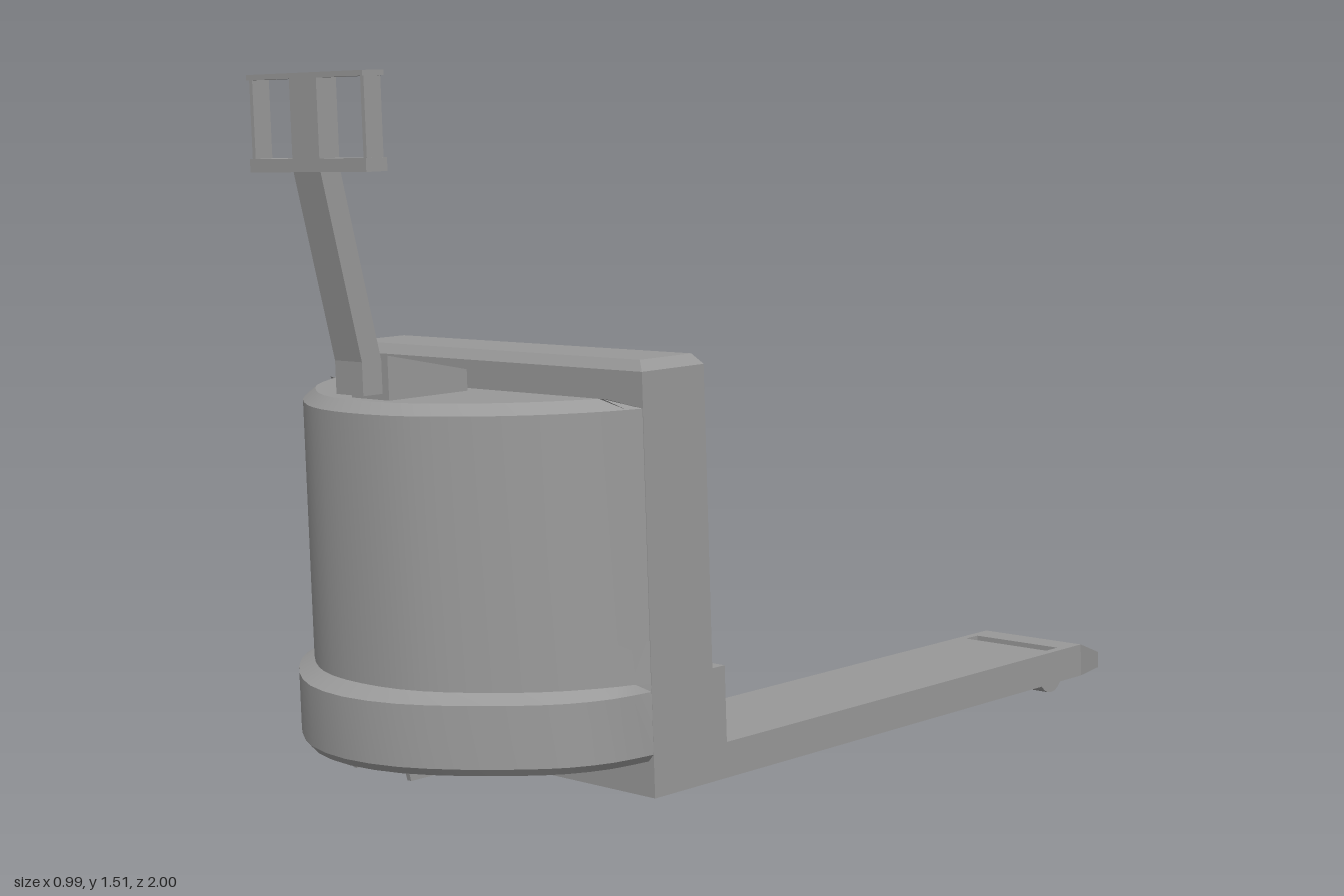
import * as THREE from 'three';
import { toCreasedNormals } from 'three/addons/utils/BufferGeometryUtils.js';

const CX = 0.0195; // middle of the truck before it is tilted
const HALF = 0.4785; // half its width

export function createModel() {
  const model = new THREE.Group();
  model.name = 'palletTruck';
  const truck = new THREE.Group();
  truck.name = 'truck';
  truck.rotation.z = THREE.MathUtils.degToRad(2.4); // the truck leans slightly
  model.add(truck);
  const grey = new THREE.MeshStandardMaterial({ color: 0x999999 });

  function add(name, geometry) {
    const mesh = new THREE.Mesh(geometry, grey);
    mesh.name = name;
    truck.add(mesh);
    return mesh;
  }

  // Box given by its limits
  function box(name, x0, x1, y0, y1, z0, z1) {
    const g = new THREE.BoxGeometry(x1 - x0, y1 - y0, z1 - z0);
    g.translate((x0 + x1) / 2, (y0 + y1) / 2, (z0 + z1) / 2);
    return add(name, g);
  }

  // Side profile of [z, y] points, extruded across x
  function profile(name, points, x0, x1) {
    const shape = new THREE.Shape(points.map(([z, y]) => new THREE.Vector2(z, y)));
    const g = new THREE.ExtrudeGeometry(shape, { depth: x1 - x0, bevelEnabled: false });
    g.rotateY(-Math.PI / 2).translate(x1, 0, 0);
    return add(name, g);
  }

  const rect = (S, x0, x1, y0, y1) => new S([[x0, y0], [x1, y0], [x1, y1], [x0, y1]]
    .map(([x, y]) => new THREE.Vector2(x, y)));

  // Battery housing with a chamfered lid
  box('batteryHousing', CX - HALF, CX + HALF, 0.018, 0.891, 0.377, 0.555);
  const lid = box('batteryLid', CX - HALF, CX + HALF, 0.891, 0.913, 0.377, 0.555).geometry;
  const lp = lid.attributes.position;
  for (let i = 0; i < lp.count; i++) {
    if (lp.getY(i) < 0.9) continue;
    lp.setX(i, lp.getX(i) - Math.sign(lp.getX(i) - CX) * 0.02);
    lp.setZ(i, lp.getZ(i) - Math.sign(lp.getZ(i) - 0.466) * 0.015);
  }
  lid.computeVertexNormals();

  // Rounded motor cover and skirt, lofted through closed plan outlines
  const outline = (half) => {
    const right = half.map(([x, z]) => new THREE.Vector3(x, 0, z));
    const left = half.slice(0, -1).reverse().map(([x, z]) => new THREE.Vector3(-x, 0, z));
    const points = new THREE.CatmullRomCurve3([...right, ...left]).getPoints(24);
    return [...points, points[0]];
  };
  const skirt = outline([[0.478, 0.555], [0.462, 0.65], [0.42, 0.735], [0.36, 0.8],
    [0.26, 0.88], [0.14, 0.945], [0, 0.97]]);
  const cover = outline([[0.477, 0.555], [0.445, 0.635], [0.365, 0.75],
    [0.24, 0.85], [0.13, 0.903], [0, 0.92]]);
  // Each level: height, outline, scale, rearmost z
  const levels = [[0.235, skirt, 0, 0.55], [0.235, skirt, 0.93, 0.55], [0.103, skirt, 0.93, 0.55],
    [0.093, skirt, 0.97, 0.55], [0.109, skirt, 1, 0.55], [0.239, skirt, 1, 0.55],
    [0.258, cover, 1, 0.55], [0.817, cover, 1, 0.55], [0.84, cover, 0.93, 0.62], [0.84, cover, 0, 0.62]];
  const pos = [], index = [];
  levels.forEach(([y, plan, s, rear], j) => plan.forEach((p, i) => {
    pos.push(CX + p.x * s, y, Math.max(rear, 0.55 + (p.z - 0.55) * s));
    if (i === 0 || j === 0) return;
    const b = j * plan.length + i, a = b - 1, c = a - plan.length, d = b - plan.length;
    index.push(c, a, b, c, b, d);
  }));
  const loft = new THREE.BufferGeometry();
  loft.setAttribute('position', new THREE.Float32BufferAttribute(pos, 3));
  loft.setIndex(index);
  add('motorCover', toCreasedNormals(loft, 0.4));

  // Drive brackets below the cover
  for (const x of [-0.07, 0.106]) {
    profile('driveBracket', [[0.595, 0.058], [0.875, 0.058], [0.885, 0.1], [0.885, 0.233], [0.588, 0.233], [0.588, 0.1]],
      x - 0.006, x + 0.006);
  }

  // Rear base plate with an upright tab at each end
  box('basePlate', CX - HALF, CX + HALF, 0.018, 0.094, 0.34, 0.377);
  for (const s of [-1, 1]) {
    const inner = CX + s * (HALF - 0.095), outer = CX + s * HALF;
    box('cornerTab', Math.min(inner, outer), Math.max(inner, outer), 0.094, 0.257, 0.34, 0.377);
  }

  // Fork with a roller slot
  const F0 = 0.211, F1 = CX + HALF;
  const plan = rect(THREE.Shape, F0, F1, -0.34, 0.9);
  plan.holes.push(rect(THREE.Path, F0 + 0.022, F1 - 0.022, 0.792, 0.836));
  const fork = new THREE.ExtrudeGeometry(plan, { depth: 0.076, bevelEnabled: false });
  add('fork', fork.rotateX(-Math.PI / 2).translate(0, 0.018, 0));

  // Tapered fork tip
  const tip = box('forkTip', F0, F1, 0.018, 0.094, -1, -0.9).geometry;
  const tp = tip.attributes.position;
  for (let i = 0; i < tp.count; i++) {
    if (tp.getZ(i) > -0.95) continue;
    tp.setX(i, tp.getX(i) - Math.sign(tp.getX(i) - 0.35) * 0.022);
    if (tp.getY(i) > 0.06) tp.setY(i, 0.056);
  }
  tip.computeVertexNormals();

  // Load roller
  const roller = new THREE.CylinderGeometry(0.043, 0.043, F1 - F0 - 0.05, 20);
  add('loadRoller', roller.rotateZ(Math.PI / 2).translate((F0 + F1) / 2, 0.032, -0.813));

  // Tiller mount and arm
  profile('tillerMount', [[0.655, 0.835], [0.865, 0.835], [0.865, 0.932], [0.655, 0.885]], -0.04, 0.08);
  profile('tillerArm', [[0.865, 0.853], [0.915, 0.853], [0.915, 0.922], [1, 1.315], [1, 1.5],
    [0.95, 1.5], [0.95, 1.315], [0.865, 0.922]], -0.027, 0.06);

  // Handle frame
  const H0 = CX - 0.188, H1 = CX + 0.186;
  box('handleBottomBar', H0, H1, 1.308, 1.335, 0.947, 1);
  box('handleTopBar', H0, H1, 1.494, 1.505, 0.947, 1);
  box('handleSideBar', H0 + 0.003, H0 + 0.013, 1.335, 1.494, 0.953, 0.995);
  box('handleSideBar', H1 - 0.013, H1 - 0.003, 1.335, 1.494, 0.953, 0.995);
  return model;
}
